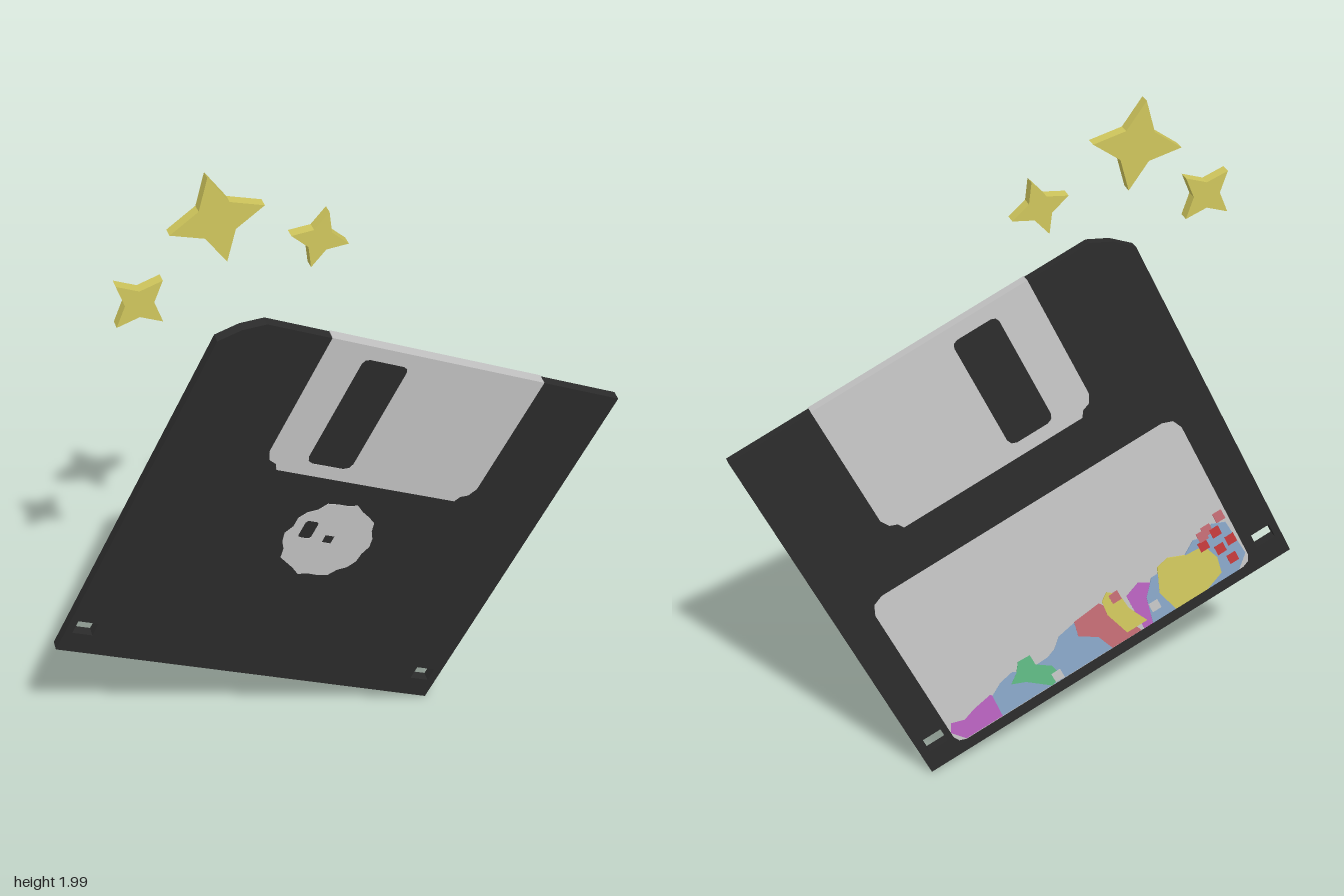
import * as THREE from 'three';

const mat = (name, color) => {
  const m = new THREE.MeshStandardMaterial({ color });
  m.name = name;
  return m;
};

// Closed 2D shape from [x, y] pairs, with optional holes
function shapeOf(points, holes = []) {
  const toV = (list) => list.map(([x, y]) => new THREE.Vector2(x, y));
  const shape = new THREE.Shape(toV(points));
  holes.forEach((h) => shape.holes.push(new THREE.Path(toV(h))));
  return shape;
}

// Flat slab between z0 and z0 + depth
function slab(name, material, shape, z0, depth) {
  const geo = new THREE.ExtrudeGeometry(shape, { depth, bevelEnabled: false });
  geo.translate(0, 0, z0);
  const mesh = new THREE.Mesh(geo, material);
  mesh.name = name;
  return mesh;
}

// Rectangle with cut corners: cb at the bottom, ct at the top
const cutRect = (x0, y0, x1, y1, cb, ct) => [
  [x0 + cb, y0], [x1 - cb, y0], [x1 - cb * 0.3, y0 + cb * 0.3], [x1, y0 + cb],
  [x1, y1 - ct], [x1 - ct * 0.3, y1 - ct * 0.3], [x1 - ct, y1],
  [x0 + ct, y1], [x0 + ct * 0.3, y1 - ct * 0.3], [x0, y1 - ct],
  [x0, y0 + cb], [x0 + cb * 0.3, y0 + cb * 0.3],
];
const rect = (cx, cy, w, h) => [
  [cx - w / 2, cy - h / 2], [cx + w / 2, cy - h / 2],
  [cx + w / 2, cy + h / 2], [cx - w / 2, cy + h / 2],
];

export function createModel() {
  const model = new THREE.Group();
  const black = mat('charcoal', 0x2b2b2b);
  const grey = mat('silver', 0xc4c4c4);
  const yellow = mat('yellow', 0xcfc65c);
  const blue = mat('blue', 0x88a5c6);
  const purple = mat('purple', 0xb862bf);
  const green = mat('green', 0x5fb883);
  const red = mat('rose', 0xc46c74);
  const crimson = mat('crimson', 0xc43a3c);

  const disk = new THREE.Group();
  disk.name = 'disk';
  model.add(disk);
  const W = 0.6235, H = 0.6085, T = 0.015, P = 0.002;

  // Case with one clipped corner and two square holes
  const outline = [[-W, -H], [W, -H], [W, H], [-0.514, H], [-0.573, 0.575], [-W, 0.525]];
  const cornerHoles = [rect(-0.57, -0.515, 0.062, 0.046), rect(0.566, -0.518, 0.062, 0.046)];
  disk.add(slab('case', black, shapeOf(outline, cornerHoles), -T, 2 * T));

  // Sliding shutter on both sides, joined over the top edge
  const shutter = [
    [-0.27, 0.153], [0.315, 0.153], [0.325, 0.172], [0.347, 0.182], [0.362, 0.21],
    [0.365, H], [-0.318, H], [-0.318, 0.21], [-0.305, 0.182], [-0.28, 0.172],
  ];
  const slot = cutRect(-0.198, 0.195, -0.055, 0.567, 0.022, 0.018);
  disk.add(slab('shutterFront', grey, shapeOf(shutter, [slot]), T, P));
  disk.add(slab('shutterBack', grey, shapeOf(shutter, [slot]), -T - P, P));
  disk.add(slab('shutterTop', grey, shapeOf(rect(0.0235, H + P / 2, 0.683, P)), -T - P, 2 * (T + P)));

  // Uneven round hub with two openings
  const hub = [];
  for (let i = 0; i < 28; i++) {
    const a = (i / 28) * Math.PI * 2;
    const r = 0.136 + 0.004 * Math.sin(i * 2.3) + 0.003 * Math.cos(i * 4.1);
    hub.push([r * Math.cos(a), -0.061 + r * Math.sin(a)]);
  }
  const hubHoles = [cutRect(-0.097, -0.067, -0.055, -0.003, 0.009, 0.009), rect(0, -0.058, 0.03, 0.028)];
  disk.add(slab('hub', grey, shapeOf(hub, hubHoles), T, P));

  // Label on the back
  disk.add(slab('label', grey, shapeOf(cutRect(-0.505, -0.572, 0.515, 0.0, 0.03, 0.045)), -T - P, P));

  // Ragged paint patches along the lower edge of the label
  const B = -0.57;
  const patches = [
    ['purple', purple, [[0.485, B], [0.515, -0.525], [0.5, -0.495], [0.46, -0.51], [0.42, -0.495], [0.36, -0.483], [0.32, -0.52], [0.33, B]]],
    ['blue', blue, [[0.36, B], [0.355, -0.49], [0.315, -0.465], [0.27, -0.455], [0.23, -0.48], [0.02, -0.47], [-0.02, B]]],
    ['blue', blue, [[0.21, B], [0.19, -0.49], [0.13, -0.465], [0.1, -0.435], [0.03, -0.42], [-0.03, -0.45], [-0.06, B]]],
    ['green', green, [[0.19, B], [0.25, -0.51], [0.29, -0.49], [0.26, -0.465], [0.24, -0.435], [0.2, -0.437], [0.2, -0.475], [0.16, -0.51], [0.15, -0.56]]],
    ['rose', red, [[-0.02, B], [0.0, -0.51], [0.05, -0.47], [0.04, -0.42], [-0.05, -0.41], [-0.08, -0.46], [-0.12, B]]],
    ['purple', purple, [[-0.13, B], [-0.13, -0.44], [-0.18, -0.42], [-0.22, -0.45], [-0.25, B]]],
    ['yellow', yellow, [[-0.08, -0.55], [-0.055, -0.46], [-0.06, -0.41], [-0.085, -0.39], [-0.115, -0.42], [-0.12, -0.48], [-0.15, -0.55]]],
    ['blue', blue, [[-0.16, B], [-0.18, -0.48], [-0.22, -0.43], [-0.33, -0.43], [-0.38, -0.395], [-0.42, -0.41], [-0.45, -0.38], [-0.49, -0.4], [-0.5, -0.53], [-0.46, B]]],
    ['yellow', yellow, [[-0.24, B], [-0.22, -0.49], [-0.25, -0.41], [-0.29, -0.4], [-0.34, -0.425], [-0.4, -0.43], [-0.42, -0.49], [-0.41, -0.545], [-0.35, B]]],
  ];
  patches.forEach(([name, m, pts], i) => {
    disk.add(slab(name + 'Patch', m, shapeOf(pts), -T - P - 0.0004 * (i + 1), 0.0004 * (i + 1)));
  });

  // Small square flecks at the end of the paint
  const flecks = [
    [crimson, -0.4, -0.43], [crimson, -0.45, -0.41], [crimson, -0.44, -0.47], [crimson, -0.48, -0.46],
    [crimson, -0.46, -0.52], [red, -0.43, -0.39], [red, -0.48, -0.37], [red, -0.41, -0.4],
    [grey, -0.19, -0.52], [grey, 0.16, -0.55], [red, -0.1, -0.42],
  ];
  flecks.forEach(([m, x, y]) => {
    disk.add(slab('paintFleck', m, shapeOf(rect(x, y, 0.03, 0.032)), -T - P - 0.0045, 0.0045));
  });

  // Roll and lean the disk
  const n = new THREE.Vector3(-0.016, -0.109, 1).normalize();
  const u = new THREE.Vector3(0.909, -0.416, -0.031);
  u.addScaledVector(n, -u.dot(n)).normalize();
  const v = n.clone().cross(u);
  disk.quaternion.setFromRotationMatrix(new THREE.Matrix4().makeBasis(u, v, n));
  disk.position.set(-0.002, 0.815, 0);

  // Four-pointed stars
  const stars = [
    [-0.325, 1.874, 0.022, 0.127, 0.058, 10],
    [-0.543, 1.685, 0.053, 0.086, 0.038, 43],
    [-0.045, 1.75, -0.008, 0.082, 0.036, -18],
  ];
  stars.forEach(([x, y, z, outer, inner, deg]) => {
    const pts = [];
    for (let i = 0; i < 8; i++) {
      const a = THREE.MathUtils.degToRad(deg + i * 45);
      const r = i % 2 ? inner : outer;
      pts.push([r * Math.cos(a), r * Math.sin(a)]);
    }
    const star = slab('star', yellow, shapeOf(pts), -0.016, 0.032);
    star.position.set(x, y, z);
    model.add(star);
  });

  return model;
}
